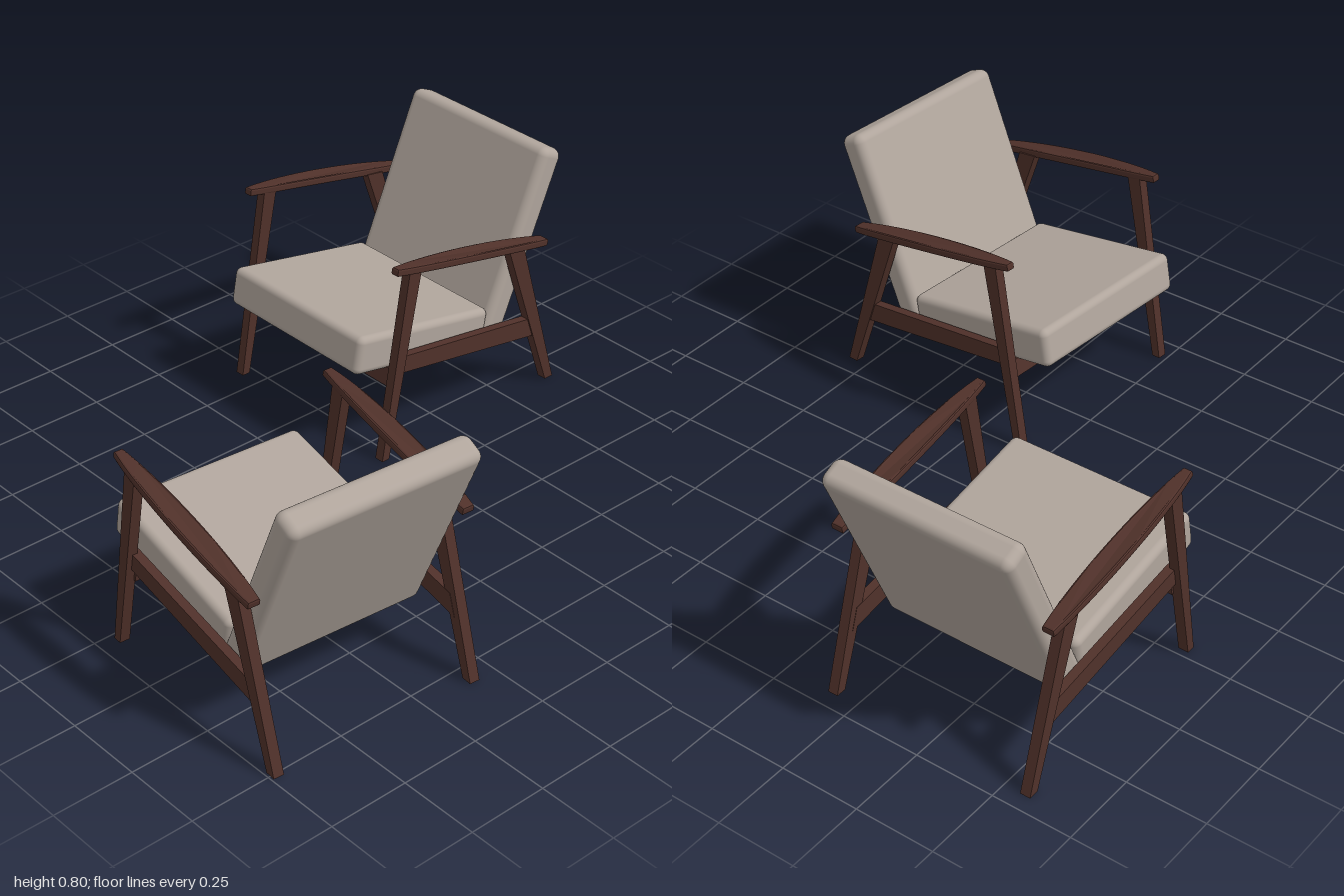
import * as THREE from 'three';
import { RoundedBoxGeometry } from 'three/addons/geometries/RoundedBoxGeometry.js';

const fabric = new THREE.MeshStandardMaterial({ color: 0xb0a59c });
fabric.name = 'warm grey fabric';
const wood = new THREE.MeshStandardMaterial({ color: 0x50312a });
wood.name = 'dark wood';

const CENTRE = 0.57; // depth of the chair's middle in its side profile
const DEG = Math.PI / 180;

function add(parent, name, geometry, material, x = 0, y = 0, z = 0) {
  const mesh = new THREE.Mesh(geometry, material);
  mesh.name = name;
  mesh.position.set(x, y, z);
  parent.add(mesh);
  return mesh;
}

// Wooden bar: a side profile (depth, height) given thickness across the chair
function bar(parent, name, profile, z, thickness) {
  const shape = new THREE.Shape(profile.map(([x, y]) => new THREE.Vector2(x - CENTRE, y)));
  const geometry = new THREE.ExtrudeGeometry(shape, { depth: thickness, bevelEnabled: false });
  geometry.translate(0, 0, -thickness / 2);
  add(parent, name, geometry, wood, 0, 0, z);
}

// Leaf-shaped armrest, bowed outward in plan and slightly upward in profile
function armrest(parent, side) {
  const half = 0.312, bevel = 0.006;
  const shape = new THREE.Shape();
  shape.moveTo(-half, -0.009);
  shape.bezierCurveTo(-half * 0.5, -0.03, half * 0.5, -0.032, half, -0.012);
  shape.lineTo(half, 0.014);
  shape.bezierCurveTo(half * 0.5, 0.037, -half * 0.5, 0.037, -half, 0.008);
  const geometry = new THREE.ExtrudeGeometry(shape, {
    depth: 0.013, bevelThickness: bevel, bevelSize: bevel, bevelSegments: 2, curveSegments: 16,
  });
  geometry.translate(0, 0, -0.0065);
  geometry.rotateX(side * Math.PI / 2);
  const p = geometry.attributes.position;
  for (let i = 0; i < p.count; i++) {
    p.setY(i, p.getY(i) + 0.008 * (1 - (p.getX(i) / half) ** 2));
  }
  geometry.computeVertexNormals();
  const arm = add(parent, 'armrest', geometry, wood, 0, 0.582, side * 0.341);
  arm.rotation.z = -10.9 * DEG;
}

// One lounge chair, facing -x, standing on y = 0
function chair(name) {
  const group = new THREE.Group();
  group.name = name;

  // Cushions
  const seat = add(group, 'seatCushion', new RoundedBoxGeometry(0.545, 0.126, 0.6, 4, 0.022),
    fabric, 0.418 - CENTRE, 0.317, 0);
  seat.rotation.z = -10.7 * DEG;
  const back = add(group, 'backCushion', new RoundedBoxGeometry(0.09, 0.665, 0.605, 4, 0.028),
    fabric, 0.825 - CENTRE, 0.49, 0);
  back.rotation.z = -23.8 * DEG;

  // Side frames
  for (const side of [-1, 1]) {
    bar(group, 'frontLeg', [[0.2, 0], [0.228, 0], [0.355, 0.622], [0.308, 0.63]], side * 0.337, 0.032);
    bar(group, 'rearLeg', [[0.917, 0], [0.95, 0], [0.795, 0.54], [0.73, 0.55]], side * 0.325, 0.032);
    bar(group, 'sideRail', [[0.268, 0.279], [0.876, 0.182], [0.855, 0.25], [0.282, 0.333]], side * 0.322, 0.028);
    armrest(group, side);
  }

  // Crossbar under the front of the seat
  bar(group, 'frontCrossbar', [[0.252, 0.235], [0.282, 0.23], [0.295, 0.285], [0.265, 0.291]], 0, 0.65);
  return group;
}

export function createModel() {
  const model = new THREE.Group();
  model.name = 'loungeChairs';

  const first = chair('rightHandChair');
  first.position.set(CENTRE, 0, -0.494);

  const second = chair('leftHandChair');
  second.position.set(-0.622, 0, 0.415);
  second.rotation.y = -94.8 * DEG;

  model.add(first, second);
  return model;
}
